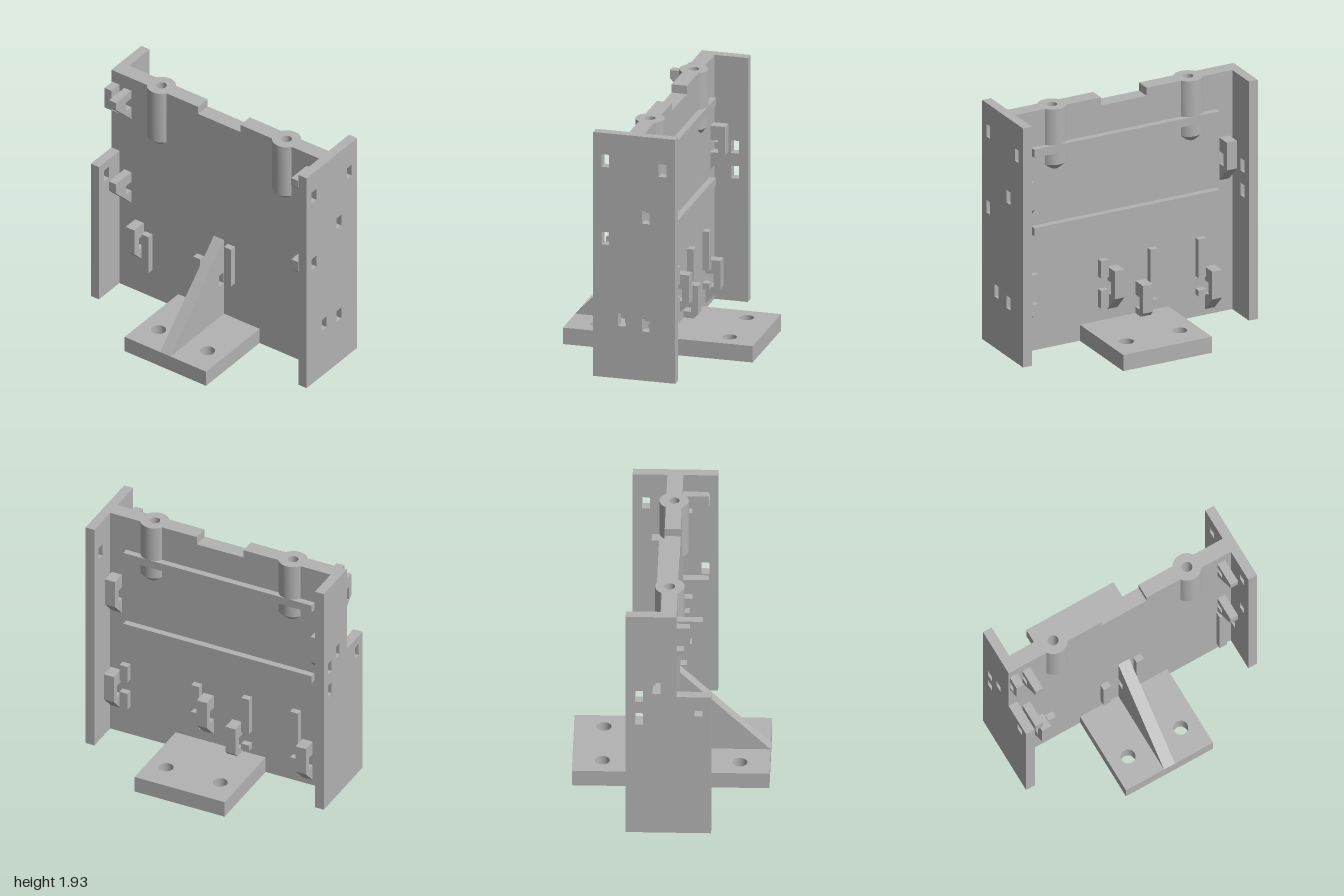
import * as THREE from 'three';
import { toCreasedNormals } from 'three/addons/utils/BufferGeometryUtils.js';

export function createModel() {
  const model = new THREE.Group();
  const grey = new THREE.MeshStandardMaterial({ color: 0xb2b2b2 });
  grey.name = 'plainGrey';

  const add = (name, geometry) => {
    const mesh = new THREE.Mesh(geometry, grey);
    mesh.name = name;
    model.add(mesh);
    return mesh;
  };
  // Box given by its limits on each axis
  const box = (name, x0, x1, y0, y1, z0, z1) =>
    add(name, new THREE.BoxGeometry(x1 - x0, y1 - y0, z1 - z0)
      .translate((x0 + x1) / 2, (y0 + y1) / 2, (z0 + z1) / 2));
  const polygon = (pts) => new THREE.Shape(pts.map(([x, y]) => new THREE.Vector2(x, y)));
  const rectHole = (x, y, w = 0.06, h = 0.1) => new THREE.Path([
    [-1, -1], [-1, 1], [1, 1], [1, -1],
  ].map(([a, b]) => new THREE.Vector2(x + a * w / 2, y + b * h / 2)));
  const roundHole = (x, y, r) => new THREE.Path().absarc(x, y, r, 0, Math.PI * 2, true);
  const extrude = (shape, depth) =>
    new THREE.ExtrudeGeometry(shape, { depth, bevelEnabled: false, curveSegments: 16 });
  // Plan outline (x, -z) raised from y0 to y1
  const raise = (shape, y0, y1) =>
    toCreasedNormals(extrude(shape, y1 - y0).rotateX(-Math.PI / 2).translate(0, y0, 0), 0.6);

  const H = 1.935, W = 0.06;

  // End flanges with small windows
  const front = polygon([[-0.32, 0], [0.32, 0], [0.32, H], [-0.32, H]]);
  front.holes = [[-0.225, 1.715], [0.22, 1.68], [0.09, 1.295], [-0.225, 1.1], [-0.095, 0.465], [0.09, 0.44]]
    .map(([x, y]) => rectHole(x, y));
  add('frontFlange', extrude(front, 0.075).translate(0, 0, 0.925));

  const back = polygon([[-0.32, 0], [0.32, 0], [0.32, H], [-W, H], [-W, 1.22], [-0.32, 1.22]]);
  back.holes = [[0.22, 1.22], [0.22, 1.02], [0.09, 1.295], [-0.225, 1.1]].map(([x, y]) => rectHole(x, y));
  add('backFlange', extrude(back, 0.075).translate(0, 0, -1));

  // Web: plain lower wall, notched top, bored upper halves
  box('webLower', -W, W, 0, 1.55, -0.925, 0.925);
  box('webMiddle', -W, W, 1.55, 1.87, -0.195, 0.195);
  for (const s of [1, -1]) {
    const a = Math.min(s * 0.195, s * 0.925), b = Math.max(s * 0.195, s * 0.925);
    const half = polygon([[-W, a], [W, a], [W, b], [-W, b]]);
    half.holes = [roundHole(0, s * 0.58, 0.045)];
    add('webUpper', raise(half, 1.55, H));

    // Screw column with conical foot and blind bore
    const profile = [[0, 1.375], [0.11, 1.485], [0.11, H], [0.04, H], [0.04, 1.55], [0, 1.55]]
      .map(([x, y]) => new THREE.Vector2(x, y));
    add('screwColumn', toCreasedNormals(new THREE.LatheGeometry(profile, 40), 0.6)
      .translate(0, 0, s * 0.58));
  }

  // Base plate with four bolt holes
  const base = polygon([[-0.74, -0.375], [0.74, -0.375], [0.74, 0.38], [-0.74, 0.38]]);
  for (const x of [-0.515, 0.515]) for (const y of [-0.225, 0.23]) base.holes.push(roundHole(x, y, 0.056));
  add('basePlate', raise(base, 0, 0.13));

  // Gusset with a window
  const gusset = polygon([[-0.74, 0.13], [-W, 0.13], [-W, 0.81]]);
  gusset.holes = [rectHole(-0.095, 0.465)];
  add('gusset', extrude(gusset, 0.095).translate(0, 0, -0.05));

  // Long rails
  for (const y of [0.945, 1.58]) box('rail', W, 0.11, y, y + 0.065, -0.79, 0.79);

  // Hook clips: sloped underside and a strap slot against the web
  const clip = (side, z0, z1, out, top, outerBottom, innerBottom, slotLow, slotHigh, slotX) => {
    const shape = polygon([
      [W, top], [out, top], [out, outerBottom], [W, innerBottom],
      [W, slotLow], [slotX, slotLow], [slotX, slotHigh], [W, slotHigh],
    ].map(([x, y]) => [side * x, y]));
    add('hookClip', extrude(shape, z1 - z0).translate(0, 0, z0));
  };
  // Left-side clips
  for (const [z, top] of [[0.825, 1.41], [-0.9, 1.41], [0.835, 0.555], [0.055, 0.555], [-0.185, 0.39], [-0.775, 0.39]])
    clip(1, z, z + 0.085, 0.175, top, top - 0.225, top - 0.345, top - 0.21, top - 0.11, 0.12);
  // Right-side clips
  for (const z of [0.81, -0.88]) {
    clip(-1, z, z + 0.065, 0.255, 1.82, 1.755, 1.56, 1.67, 1.75, 0.13);
    clip(-1, z, z + 0.065, 0.255, 1.07, 0.985, 0.79, 0.9, 0.98, 0.13);
  }
  clip(-1, -0.99, -0.925, 0.16, 1.83, 1.65, 1.565, 1.63, 1.74, 0.115);
  clip(-1, -0.78, -0.7, 0.18, 0.65, 0.43, 0.31, 0.44, 0.54, 0.12);

  // Small stop blocks on the left face
  for (const z of [0.755, 0.155]) {
    box('stopBlock', W, 0.11, 0.49, 0.63, z, z + 0.065);
    box('stopBlock', W, 0.11, 0.245, 0.39, z, z + 0.065);
  }
  for (const z of [-0.265, -0.675]) {
    box('stopBlock', W, 0.11, 0.33, 0.64, z, z + 0.065);
    box('stopBlock', W, 0.11, 0.18, 0.23, z, z + 0.065);
  }
  // Stop blocks on the right face
  for (const [z, y0, y1] of [[-0.205, 0.25, 0.58], [-0.685, 0.25, 0.58], [0.08, 0.45, 0.79], [0.8, 0.11, 0.78]])
    box('stopBlock', -0.11, -W, y0, y1, z, z + 0.065);

  return model;
}
